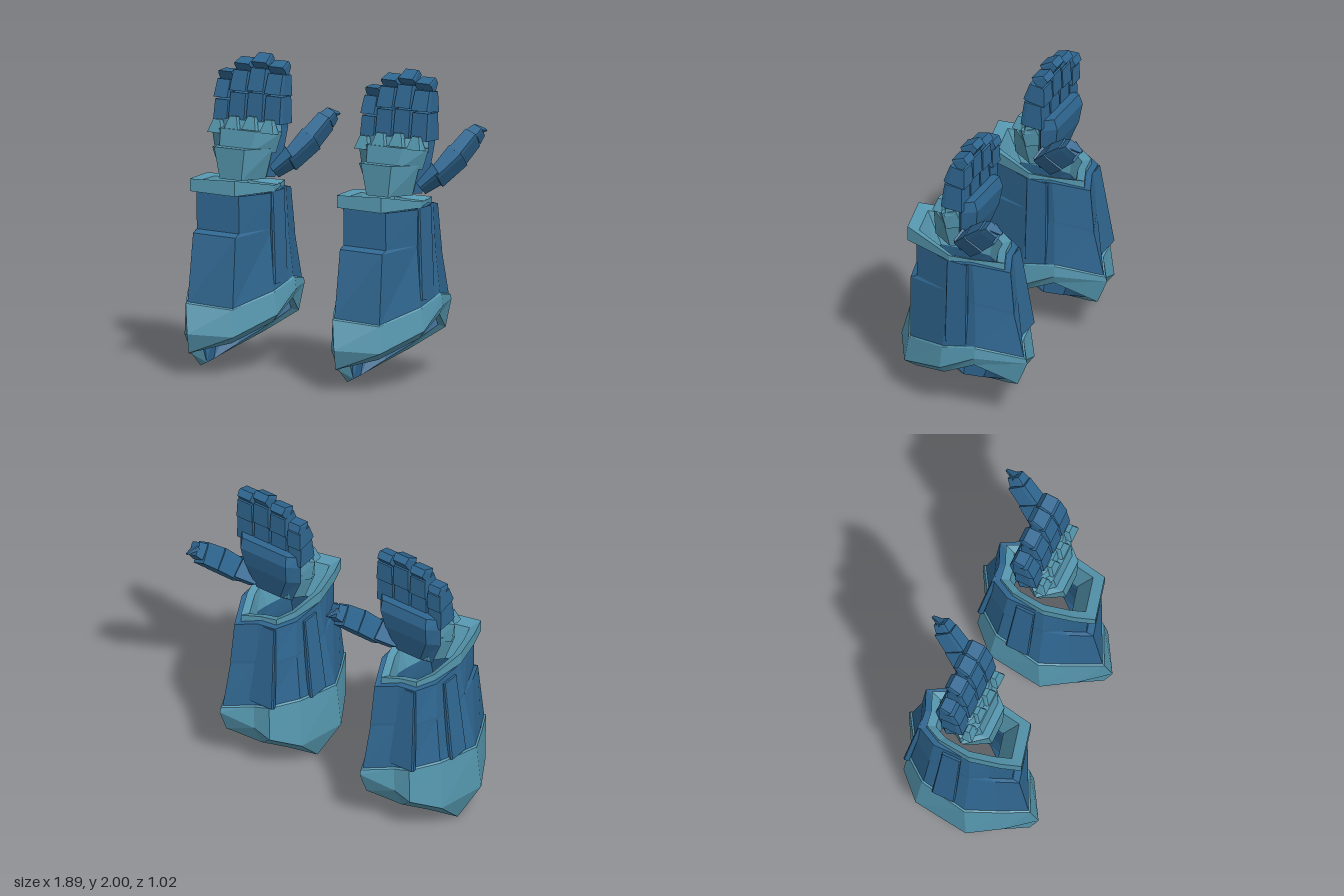
import * as THREE from 'three';

const blue = new THREE.MeshStandardMaterial({ color: 0x2f6690, flatShading: true, side: THREE.DoubleSide });
const teal = new THREE.MeshStandardMaterial({ color: 0x5596ae, flatShading: true, side: THREE.DoubleSide });

// Skin a stack of equal-length rings of [x, y, z]; caps close both ends.
function loft(name, rings, mat, caps = true) {
  const pos = [], n = rings[0].length;
  const tri = (a, b, c) => pos.push(...a, ...b, ...c);
  for (let r = 0; r < rings.length - 1; r++) {
    const a = rings[r], b = rings[r + 1];
    for (let i = 0; i < n; i++) {
      const j = (i + 1) % n;
      tri(a[i], a[j], b[j]);
      tri(a[i], b[j], b[i]);
    }
  }
  if (caps) {
    const a = rings[0], b = rings[rings.length - 1];
    for (let i = 1; i < n - 1; i++) {
      tri(a[0], a[i + 1], a[i]);
      tri(b[0], b[i], b[i + 1]);
    }
  }
  const g = new THREE.BufferGeometry();
  g.setAttribute('position', new THREE.Float32BufferAttribute(pos, 3));
  g.computeVertexNormals();
  const mesh = new THREE.Mesh(g, mat);
  mesh.name = name;
  return mesh;
}

// Bevelled armour block running from a to b, tapering in width and depth.
function segment(name, a, b, w0, d0, w1, d1, mat, sideHint = [1, 0, 0]) {
  const A = new THREE.Vector3(...a), B = new THREE.Vector3(...b);
  const dir = B.clone().sub(A).normalize();
  const side = new THREE.Vector3(...sideHint);
  side.addScaledVector(dir, -side.dot(dir)).normalize();
  const front = side.clone().cross(dir);
  const outline = [[-0.45, 0.5], [0.45, 0.5], [0.5, 0.3], [0.46, -0.5], [-0.46, -0.5], [-0.5, 0.3]];
  const ring = (c, w, d) => outline.map(([s, f]) =>
    c.clone().addScaledVector(side, s * w).addScaledVector(front, f * d).toArray());
  return loft(name, [ring(A, w0, d0), ring(B, w1, d1)], mat);
}

// Six-sided hand section: narrower front face, wide sides.
function handRing(y, x0, x1, zFront, zBack, drop = 0.03) {
  const w = x1 - x0, zm = zFront * 0.45 + zBack * 0.55;
  return [[x0 + w * 0.22, y, zFront], [x1 - w * 0.28, y, zFront], [x1, y, zm],
    [x1 - 0.06, y, zBack], [x0 + 0.06, y, zBack], [x0, y - drop, zm]];
}

// Shrink a ring towards the arm's axis and shift it vertically.
const inset = (ring, k, dy = 0) => ring.map(([x, y, z]) => [-0.59 + (x + 0.59) * k, y + dy, z * k]);

function sleeve() {
  const g = new THREE.Group();
  g.name = 'forearmSleeve';
  // rings run from the front corner round the inner side, the back and the outer side
  const hem = [[-0.72, 0.14, 0.46], [-0.5, 0.2, 0.3], [-0.36, 0.31, 0.03], [-0.35, 0.43, -0.19], [-0.46, 0.3, -0.44],
    [-0.63, 0.17, -0.29], [-0.74, 0.09, -0.15], [-0.86, 0, -0.01], [-0.83, 0, 0.14], [-0.8, 0.1, 0.29]];
  const bandLow = [[-0.7, 0.27, 0.51], [-0.45, 0.25, 0.36], [-0.32, 0.36, 0.04], [-0.33, 0.49, -0.2], [-0.46, 0.47, -0.51],
    [-0.65, 0.36, -0.4], [-0.77, 0.32, -0.4], [-0.91, 0.24, -0.25], [-0.95, 0.2, 0.12], [-0.83, 0.23, 0.33]];
  const bandTop = [[-0.735, 0.46, 0.47], [-0.47, 0.42, 0.34], [-0.345, 0.5, 0.04], [-0.34, 0.56, -0.2], [-0.46, 0.5, -0.5],
    [-0.64, 0.52, -0.39], [-0.75, 0.55, -0.38], [-0.88, 0.57, -0.22], [-0.93, 0.52, 0.1], [-0.835, 0.49, 0.29]];
  const step = [[-0.73, 0.9, 0.39], [-0.46, 0.88, 0.32], [-0.385, 0.88, 0.02], [-0.375, 0.86, -0.18], [-0.47, 0.8, -0.41],
    [-0.63, 0.84, -0.35], [-0.74, 0.86, -0.34], [-0.83, 0.88, -0.19], [-0.84, 0.9, 0.09], [-0.79, 0.9, 0.25]];
  const stepTop = step.map(([x, y, z]) => [x, y + 0.02, z > 0.2 ? z - 0.045 : z]);
  const top = [[-0.73, 1.16, 0.35], [-0.46, 1.14, 0.28], [-0.375, 1.13, 0], [-0.38, 1.15, -0.16], [-0.48, 1.1, -0.38],
    [-0.62, 1.13, -0.32], [-0.74, 1.13, -0.3], [-0.81, 1.14, -0.17], [-0.81, 1.14, 0.08], [-0.77, 1.15, 0.22]];
  // the rim overhangs at the front and sits inside the shell at the back
  const rimLow = top.map(([x, y, z]) => z < -0.1 ? [-0.59 + (x + 0.59) * 0.87, y, z * 0.87]
    : [x + (x > -0.59 ? 0.005 : -0.01), y + 0.01, z > 0.2 ? z + 0.06 : z]);
  const rimY = [1.25, 1.25, 1.18, 1.17, 1.15, 1.16, 1.17, 1.19, 1.23, 1.24];
  const rimTop = rimLow.map(([x, , z], i) => [x, rimY[i], z]);
  const rimIn = inset(rimTop, 0.8, -0.02);
  const neck = inset(top, 0.62, -0.13);
  const hemIn = inset(hem, 0.86, 0.02);
  // wide folded lip under the front edge
  hemIn[0] = [-0.68, 0.23, 0.25];
  hemIn[1] = [-0.52, 0.25, 0.19];
  hemIn[9] = [-0.77, 0.14, 0.21];
  g.add(
    loft('lowerBand', [hemIn, hem, bandLow, bandTop, inset(bandTop, 0.96, 0.01)], teal, false),
    loft('sleeveShell', [inset(bandTop, 0.97), step, stepTop, top, inset(top, 0.87)], blue, false),
    loft('wristRim', [rimLow, rimTop, rimIn, neck], teal, false),
    loft('sleeveLining', [neck, inset(step, 0.66), inset(bandTop, 0.84), hemIn], blue, false),
    // raised strips along the sides and back
    segment('innerSideStrip', [-0.378, 0.55, -0.055], [-0.39, 1.14, -0.055], 0.16, 0.06, 0.15, 0.04, blue, [0, 0, -1]),
    segment('outerSideStrip', [-0.885, 0.55, -0.06], [-0.815, 1.1, -0.04], 0.16, 0.05, 0.13, 0.03, blue, [0, 0, 1]),
    segment('backStrip', [-0.69, 0.56, -0.375], [-0.68, 1.12, -0.3], 0.2, 0.04, 0.13, 0.03, blue, [-1, 0, 0]),
  );
  return g;
}

function hand() {
  const g = new THREE.Group();
  g.name = 'hand';
  g.add(
    loft('wristGuard', [handRing(1.22, -0.74, -0.42, 0.17, -0.1), handRing(1.42, -0.81, -0.36, 0.17, -0.08)], teal),
    loft('handPlate', [handRing(1.39, -0.8, -0.35, 0.125, -0.08), handRing(1.53, -0.82, -0.3, 0.1, -0.05)], teal),
    loft('knucklePlate', [handRing(1.5, -0.8, -0.31, 0.075, -0.05), handRing(1.585, -0.79, -0.32, 0.045, -0.05)], teal),
    loft('palm', [handRing(1.22, -0.7, -0.4, 0, -0.11), handRing(1.42, -0.79, -0.35, 0, -0.17),
      handRing(1.55, -0.8, -0.33, 0, -0.19), handRing(1.62, -0.79, -0.33, 0, -0.17)], blue),
  );
  // fingers: base x, tip x, then heights of the joints
  const fingers = [
    ['littleFinger', -0.757, -0.767, 1.54, 1.69, 1.81, 1.87],
    ['ringFinger', -0.635, -0.638, 1.57, 1.745, 1.88, 1.96],
    ['middleFinger', -0.503, -0.508, 1.58, 1.755, 1.905, 2],
    ['indexFinger', -0.372, -0.385, 1.57, 1.745, 1.88, 1.96],
  ];
  for (const [name, x0, x1, y0, y1, y2, y3] of fingers) {
    const f = new THREE.Group(), w = name === 'littleFinger' ? 0.112 : 0.13, xm = (x0 + x1) / 2;
    f.name = name;
    f.add(
      segment('baseJoint', [x0, y0, -0.045], [x0, y1, -0.055], w, 0.15, w * 0.95, 0.12, blue),
      segment('middleJoint', [xm, y1 + 0.005, -0.06], [xm, y2, -0.08], w, 0.15, w * 0.92, 0.1, blue),
      segment('fingertip', [x1, y2 + 0.01, -0.07], [x1, y3 - 0.02, -0.135], w * 0.92, 0.1, w * 0.8, 0.05, blue),
      segment('knuckle', [x0, y0 - 0.05, 0.06], [x0, y0 + 0.035, 0.05], 0.115, 0.07, 0.055, 0.03, teal),
    );
    g.add(f);
  }
  // thumb, leaning out and back, with a thin curved spur at the tip
  const thumb = new THREE.Group(), side = [0.8, -0.45, 0.2];
  thumb.name = 'thumb';
  thumb.add(
    segment('thumbRoot', [-0.43, 1.26, -0.08], [-0.33, 1.35, -0.15], 0.09, 0.1, 0.1, 0.15, blue, side),
    segment('thumbBase', [-0.34, 1.31, -0.13], [-0.255, 1.45, -0.26], 0.08, 0.14, 0.12, 0.15, blue, side),
    segment('thumbMiddle', [-0.26, 1.44, -0.25], [-0.215, 1.55, -0.37], 0.1, 0.15, 0.09, 0.14, blue, side),
    segment('thumbTip', [-0.21, 1.555, -0.37], [-0.19, 1.595, -0.41], 0.09, 0.11, 0.07, 0.09, blue, side),
    segment('thumbSpur', [-0.2, 1.6, -0.4], [-0.18, 1.585, -0.475], 0.07, 0.03, 0.02, 0.01, blue, side),
  );
  g.add(thumb);
  return g;
}

export function createModel() {
  const model = new THREE.Group();
  model.name = 'gauntletPair';
  // two matching gauntlets side by side
  for (const [name, x] of [['rightGauntlet', 0], ['leftGauntlet', 1.09]]) {
    const g = new THREE.Group();
    g.name = name;
    g.add(sleeve(), hand());
    g.position.x = x;
    model.add(g);
  }
  return model;
}
